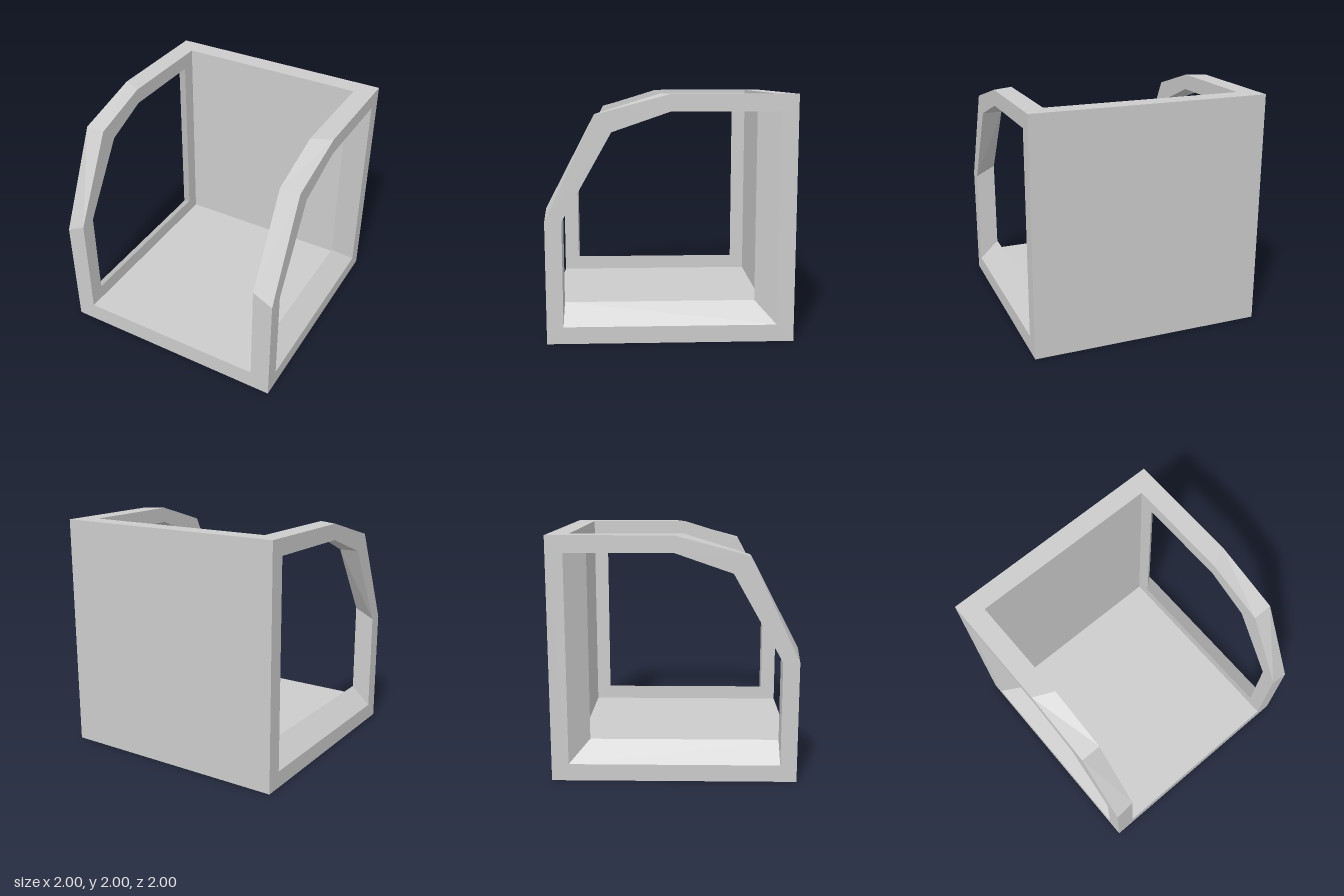
import * as THREE from 'three';

const IN = 0.83; // inner face of side frames and back wall
const FLOOR = 0.17; // floor thickness

// Matching [z, y] loops: outline and window, on the outer and inner face
const outerOutline = [[-1, 0], [1, 0], [1, 1], [0.6, 1.84], [0, 2], [-1, 2]];
const outerWindow = [[-0.86, 0.14], [0.865, 0.14], [0.865, 1], [0.465, 1.705], [0, 1.865], [-0.86, 1.865]];
const innerWindow = [[-0.7, 0.3], [0.865, 0.3], [0.865, 1.085], [0.465, 1.705], [0.08, 1.865], [-0.7, 1.865]];
const innerOutline = [[-1, 0], [1, 0], [1, 1.085], [0.6, 1.84], [0.08, 2], [-1, 2]];

// Joins the four loops into a closed window frame; side is +1 or -1
function frameGeometry(side) {
  const at = (x, loop) => loop.map(([z, y]) => [side * x, y, z]);
  const rings = [at(1, outerOutline), at(1, outerWindow), at(IN, innerWindow), at(IN, innerOutline)];
  const positions = [];
  const tri = (a, b, c) => positions.push(...a, ...(side > 0 ? [...b, ...c] : [...c, ...b]));
  rings.forEach((ring, k) => {
    const next = rings[(k + 1) % rings.length];
    ring.forEach((a, i) => {
      const j = (i + 1) % ring.length;
      tri(a, next[i], next[j]);
      tri(a, next[j], ring[j]);
    });
  });
  const geometry = new THREE.BufferGeometry();
  geometry.setAttribute('position', new THREE.Float32BufferAttribute(positions, 3));
  geometry.computeVertexNormals();
  return geometry;
}

export function createModel() {
  const model = new THREE.Group();
  model.name = 'openCabin';
  const material = new THREE.MeshStandardMaterial({ color: 0xcccccc, flatShading: true });

  const add = (name, geometry, x = 0, y = 0, z = 0) => {
    const mesh = new THREE.Mesh(geometry, material);
    mesh.name = name;
    mesh.position.set(x, y, z);
    model.add(mesh);
  };

  // Floor and solid back wall between the frames
  add('floor', new THREE.BoxGeometry(2 * IN, FLOOR, 2), 0, FLOOR / 2, 0);
  add('backWall', new THREE.BoxGeometry(2 * IN, 2 - FLOOR, 1 - IN), 0, 1 + FLOOR / 2, -(1 + IN) / 2);

  // Side frames with bevelled sills
  add('leftFrame', frameGeometry(1));
  add('rightFrame', frameGeometry(-1));
  return model;
}
